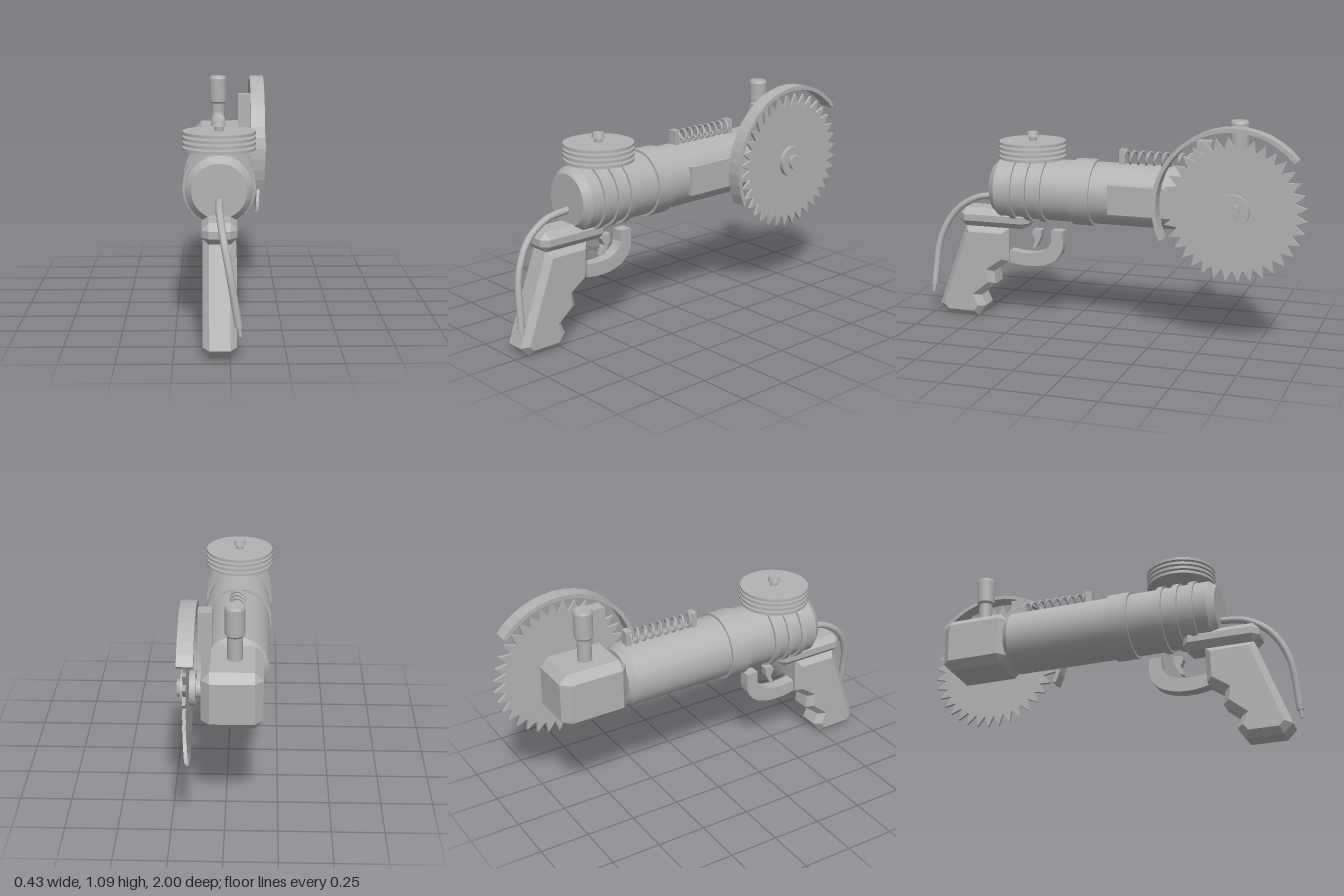
import * as THREE from 'three';
import { toCreasedNormals } from 'three/addons/utils/BufferGeometryUtils.js';
import { ConvexGeometry } from 'three/addons/geometries/ConvexGeometry.js';

const AX = -0.045, AY = 0.697; // body axis
const BLADE_Z = -0.645, BLADE_Y = 0.7;

export function createModel() {
  const group = new THREE.Group();
  const steel = new THREE.MeshStandardMaterial({ color: 0xb2b2b2 });
  steel.name = 'grey steel';

  const add = (name, geo, x = 0, y = 0, z = 0) => {
    const mesh = new THREE.Mesh(geo, steel);
    mesh.name = name;
    mesh.position.set(x, y, z);
    group.add(mesh);
    return mesh;
  };

  // Box with every edge cut at 45 degrees
  const chamferBox = (w, h, d, c) => {
    const pts = [];
    for (const sx of [-1, 1]) for (const sy of [-1, 1]) for (const sz of [-1, 1]) {
      const [x, y, z] = [w / 2, h / 2, d / 2];
      pts.push(new THREE.Vector3(sx * x, sy * (y - c), sz * (z - c)));
      pts.push(new THREE.Vector3(sx * (x - c), sy * y, sz * (z - c)));
      pts.push(new THREE.Vector3(sx * (x - c), sy * (y - c), sz * z));
    }
    return new ConvexGeometry(pts);
  };

  // Turned part: [radius, position] pairs, axis along y
  const lathe = (pts, sides = 32) =>
    toCreasedNormals(new THREE.LatheGeometry(pts.map(p => new THREE.Vector2(...p)), sides), 0.4);

  // Side profile given as [z, y], extruded across x and centred
  const sideProfile = (shape, width, bevel = 0) => {
    const geo = new THREE.ExtrudeGeometry(shape, {
      depth: width - 2 * bevel, bevelEnabled: bevel > 0, bevelSize: bevel,
      bevelThickness: bevel, bevelOffset: -bevel, bevelSegments: 1, curveSegments: 10,
    });
    geo.translate(0, 0, bevel - width / 2);
    return geo.rotateY(-Math.PI / 2);
  };
  const polygon = pts => new THREE.Shape(pts.map(p => new THREE.Vector2(...p)));

  // Motor housing with tapered ends and raised bands
  add('motorHousing', lathe([[0, -0.46], [0.13, -0.46], [0.157, -0.43], [0.157, 0.61], [0.127, 0.645], [0, 0.645]])
    .rotateX(Math.PI / 2), AX, AY, 0);
  const band = (name, z, width) =>
    add(name, new THREE.CylinderGeometry(0.169, 0.169, width, 32).rotateX(Math.PI / 2), AX, AY, z);
  band('wideBand', 0.155, 0.11);
  for (const z of [0.53, 0.45, 0.37]) band('coolingRing', z, 0.03);
  add('sidePanel', new THREE.BoxGeometry(0.05, 0.145, 0.42), 0.094, AY, -0.21);

  // Gearbox and its upright side handle
  add('gearbox', chamferBox(0.28, 0.28, 0.35, 0.04), -0.035, AY, -0.625);
  add('handleStem', new THREE.CylinderGeometry(0.035, 0.035, 0.15, 20), AX, 0.89, -0.62);
  add('handleKnob', lathe([[0, 0.95], [0.038, 0.95], [0.046, 0.96], [0.046, 1.085], [0.04, 1.097], [0, 1.097]], 20), AX, 0, -0.62);

  // Saw blade
  const teeth = 36, outline = [];
  for (let i = 0; i < teeth * 2; i++) {
    const a = i * Math.PI / teeth, r = i % 2 ? 0.352 : 0.293;
    outline.push([r * Math.cos(a), r * Math.sin(a)]);
  }
  add('sawBlade', sideProfile(polygon(outline), 0.015), 0.166, BLADE_Y, BLADE_Z);

  // Axle, flanges and hex bolt
  const axial = (name, r, x0, x1, sides) =>
    add(name, new THREE.CylinderGeometry(r, r, x1 - x0, sides).rotateZ(Math.PI / 2), (x0 + x1) / 2, BLADE_Y, BLADE_Z);
  axial('axle', 0.045, 0.08, 0.17, 20);
  axial('innerFlange', 0.08, 0.13, 0.16, 24);
  axial('outerFlange', 0.08, 0.172, 0.197, 24);
  axial('bladeBolt', 0.04, 0.195, 0.216, 6);

  // Curved blade guard and its bracket
  const guard = new THREE.Shape();
  const a0 = -0.44, a1 = 2.44;
  guard.absarc(0, 0, 0.396, a0, a1, false);
  guard.absarc(0, 0, 0.376, a1, a0, true);
  guard.closePath();
  add('bladeGuard', sideProfile(guard, 0.073), 0.162, BLADE_Y, BLADE_Z);
  add('guardBracket', new THREE.BoxGeometry(0.065, 0.205, 0.07), 0.094, 0.912, -0.485);

  // Spring stretched between two posts
  for (const z of [-0.033, -0.395])
    add('springPost', new THREE.BoxGeometry(0.046, 0.09, 0.03), AX, 0.88, z);
  const coil = [], turns = 8.5, steps = 102;
  for (let i = 0; i <= steps; i++) {
    const a = i / steps * turns * 2 * Math.PI;
    coil.push(new THREE.Vector3(0.032 * Math.cos(a), 0.032 * Math.sin(a), -0.04 - 0.35 * i / steps));
  }
  add('spring', new THREE.TubeGeometry(new THREE.CatmullRomCurve3(coil), 204, 0.0065, 6), AX, 0.886, 0);

  // Stack of thin discs on a bolt
  for (let i = 0; i < 4; i++)
    add('stackDisc', new THREE.CylinderGeometry(0.17, 0.17, 0.014, 40), AX, 0.865 + i * 0.0245, 0.45);
  add('stackCore', new THREE.CylinderGeometry(0.035, 0.035, 0.1, 20), AX, 0.89, 0.45);
  add('stackBoltShank', new THREE.CylinderGeometry(0.02, 0.02, 0.04, 16), AX, 0.955, 0.45);
  add('stackBoltHead', new THREE.CylinderGeometry(0.028, 0.035, 0.024, 6), AX, 0.979, 0.45);

  // Grip with finger grooves, and its mounting rail
  add('grip', sideProfile(polygon([
    [0.81, 0.49], [0.97, 0.05], [0.925, 0.003], [0.75, 0.003], [0.71, 0.06], [0.735, 0.115],
    [0.65, 0.185], [0.66, 0.25], [0.575, 0.31], [0.57, 0.49],
  ]), 0.152, 0.03), AX, 0, 0);
  add('gripRail', chamferBox(0.16, 0.098, 0.38, 0.032), AX, 0.537, 0.65);

  // Trigger and curved finger guard
  add('trigger', sideProfile(polygon([
    [0.445, 0.485], [0.4, 0.485], [0.407, 0.44], [0.434, 0.39], [0.456, 0.38], [0.438, 0.43], [0.455, 0.465],
  ]), 0.035), AX, 0, 0);
  const loop = new THREE.Shape();
  loop.moveTo(0.6, 0.31);
  loop.bezierCurveTo(0.45, 0.26, 0.28, 0.3, 0.282, 0.42);
  loop.lineTo(0.282, 0.487);
  loop.lineTo(0.345, 0.487);
  loop.lineTo(0.345, 0.43);
  loop.bezierCurveTo(0.37, 0.35, 0.48, 0.345, 0.6, 0.372);
  loop.closePath();
  add('triggerGuard', sideProfile(loop, 0.06), AX, 0, 0);

  // Power cable with a bare wire tip
  const cable = new THREE.CatmullRomCurve3([
    [-0.045, 0.65, 0.63], [-0.045, 0.627, 0.77], [-0.032, 0.55, 0.885], [-0.005, 0.41, 0.96], [0.037, 0.165, 0.985],
  ].map(p => new THREE.Vector3(...p)));
  add('cable', new THREE.TubeGeometry(cable, 32, 0.017, 10));
  const end = cable.getPoint(1), dir = cable.getTangent(1);
  const turn = new THREE.Quaternion().setFromUnitVectors(new THREE.Vector3(0, 1, 0), dir);
  add('cableEnd', new THREE.CylinderGeometry(0.017, 0.017, 0.004, 10), ...end).quaternion.copy(turn);
  const tip = end.clone().addScaledVector(dir, 0.02);
  add('wireTip', new THREE.CylinderGeometry(0.009, 0.009, 0.045, 8), ...tip).quaternion.copy(turn);

  return group;
}
